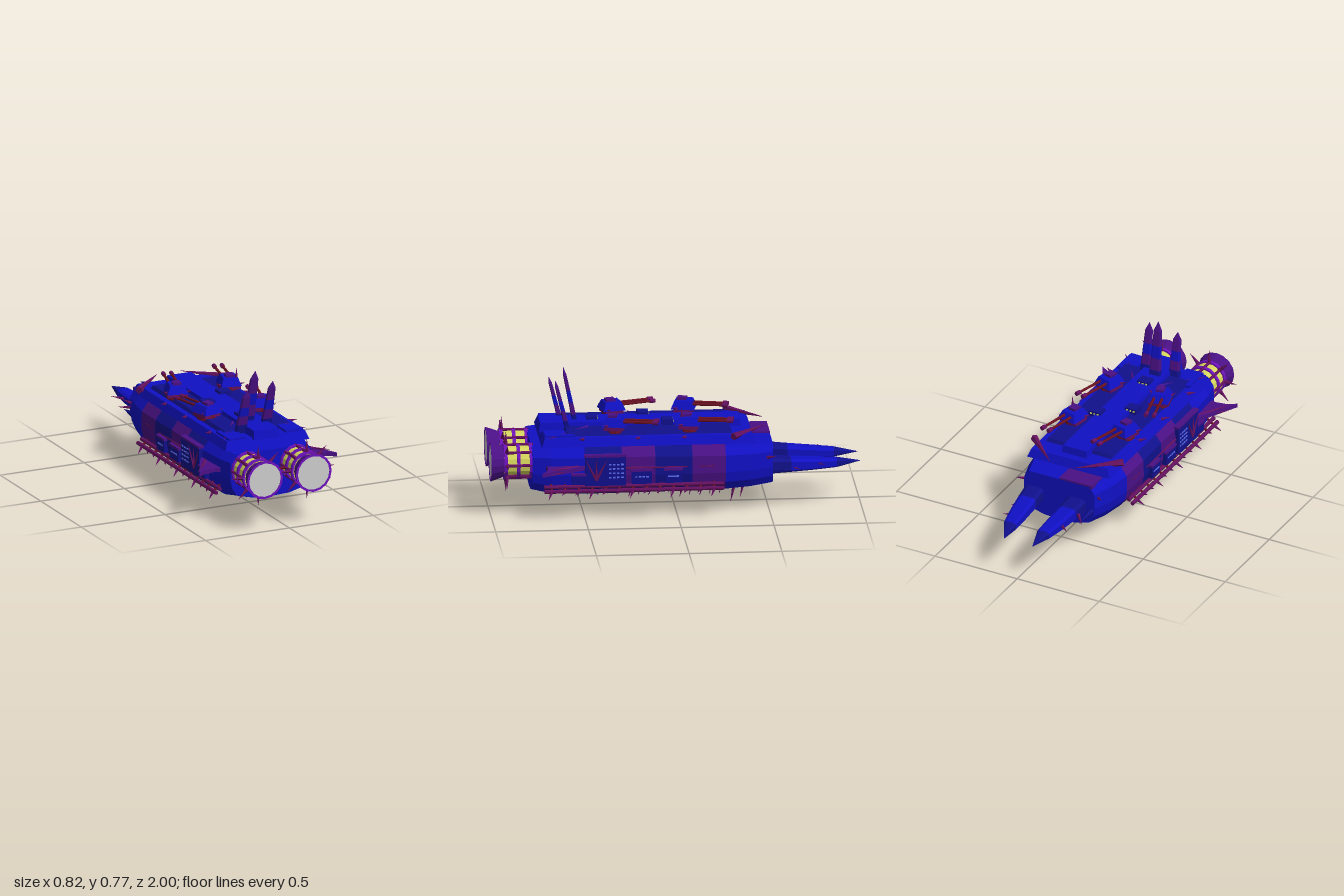
import * as THREE from 'three';

const C = { blue: 0x1010c4, navy: 0x10108c, purple: 0x4a1085, violet: 0x6e12bc, plum: 0x64105e, red: 0x6a1020, yellow: 0xd4d45c, window: 0x5a6cf0, grey: 0xcccccc };
const mats = {};
for (const k in C) mats[k] = new THREE.MeshStandardMaterial({ color: C[k], flatShading: true, side: THREE.DoubleSide });
const V = (x, y, z) => new THREE.Vector3(x, y, z);

function add(parent, name, geo, mat, x = 0, y = 0, z = 0) {
  const m = new THREE.Mesh(geo, mats[mat]);
  m.name = name;
  m.position.set(x, y, z);
  parent.add(m);
  return m;
}
const box = (p, name, w, h, d, mat, x, y, z) => add(p, name, new THREE.BoxGeometry(w, h, d), mat, x, y, z);

// Tapered bar from a to b
function bar(p, name, a, b, r0, r1, mat, sides = 6) {
  const d = b.clone().sub(a), mid = a.clone().add(b).multiplyScalar(0.5);
  const m = add(p, name, new THREE.CylinderGeometry(r1, r0, d.length(), sides), mat, mid.x, mid.y, mid.z);
  m.quaternion.setFromUnitVectors(V(0, 1, 0), d.normalize());
  return m;
}
const spike = (p, name, a, b, r, mat = 'plum') => bar(p, name, a, b, r, 0.0005, mat, 5);

// Skin over rings that run towards -z; one mesh per colour band
function loft(p, name, rings, colours) {
  const g = new THREE.Group();
  g.name = name;
  for (let s = 0; s < rings.length - 1; s++) {
    const A = rings[s], B = rings[s + 1], n = A.length, pts = [];
    for (let i = 0; i < n; i++) {
      const j = (i + 1) % n;
      pts.push(A[i], B[i], B[j], A[i], B[j], A[j]);
      if (s === 0 && i > 0 && i < n - 1) pts.push(A[0], A[i], A[i + 1]);
      if (s === rings.length - 2 && i > 0 && i < n - 1) pts.push(B[0], B[i + 1], B[i]);
    }
    const geo = new THREE.BufferGeometry().setFromPoints(pts);
    geo.computeVertexNormals();
    add(g, name + 'Band', geo, colours[s % colours.length]);
  }
  p.add(g);
  return g;
}
// Chamfered rectangular ring, counter-clockwise seen from +z
function rectRing(cx, cy, z, hw, hh, cut = 0.35) {
  const k = 1 - cut;
  return [[1, -k], [1, k], [k, 1], [-k, 1], [-1, k], [-1, -k], [-k, -1], [k, -1]].map(([a, b]) => V(cx + a * hw, cy + b * hh, z));
}
// Slab with sloping sides
function slab(p, name, w, h, d, inset, mat, x, y, z) {
  const geo = new THREE.BoxGeometry(w, h, d), a = geo.attributes.position;
  for (let i = 0; i < a.count; i++) if (a.getY(i) > 0) {
    a.setX(i, a.getX(i) - Math.sign(a.getX(i)) * inset);
    a.setZ(i, a.getZ(i) - Math.sign(a.getZ(i)) * inset);
  }
  geo.computeVertexNormals();
  return add(p, name, geo, mat, x, y, z);
}

function hull(p) {
  const half = [[0.12, 0.1], [0.235, 0.13], [0.268, 0.18], [0.28, 0.24], [0.277, 0.34], [0.24, 0.39]];
  const prof = [...half, ...half.slice().reverse().map(([x, y]) => [-x, y]), [0, 0.095]];
  // z, width scale, lowest y, highest y
  const st = [[0.78, 0.88, 0.122, 0.385], [0.68, 0.97, 0.1, 0.39], [0.5, 1, 0.095, 0.39], [0.3, 1, 0.095, 0.39], [0.12, 1, 0.097, 0.39],
    [-0.08, 1, 0.1, 0.385], [-0.26, 0.98, 0.105, 0.38], [-0.4, 0.9, 0.112, 0.377], [-0.52, 0.77, 0.125, 0.375]];
  loft(p, 'hull', st.map(([z, s, lo, hi]) => prof.map(([x, y]) => V(x * s, lo + (y - 0.095) / 0.295 * (hi - lo), z))),
    ['blue', 'blue', 'navy', 'purple', 'navy', 'purple', 'blue', 'blue']);
  box(p, 'bowPlate', 0.2, 0.02, 0.12, 'purple', -0.1, 0.375, -0.46);
}

function deck(p) {
  box(p, 'deckSupport', 0.4, 0.04, 1.0, 'navy', 0, 0.39, 0.18);
  slab(p, 'deck', 0.5, 0.047, 1.15, 0.018, 'blue', 0, 0.417, 0.155);
  slab(p, 'deckPlate', 0.4, 0.02, 0.9, 0.01, 'navy', 0, 0.45, 0.15);
  slab(p, 'deckSpine', 0.155, 0.05, 1.09, 0.006, 'blue', -0.005, 0.456, 0.185);
  for (const [x, z] of [[-0.085, 0.16], [0.07, 0.04], [-0.01, 0.44]]) {
    box(p, 'hatch', 0.07, 0.03, 0.06, 'navy', x, 0.48, z);
    for (let i = 0; i < 3; i++) box(p, 'hatchLight', 0.01, 0.01, 0.004, 'yellow', x - 0.02 + i * 0.02, 0.483, z - 0.031);
  }
  // Diagonal claws at the four corners
  for (const s of [-1, 1]) {
    spike(p, 'frontClaw', V(s * 0.27, 0.44, -0.3), V(s * 0.07, 0.447, -0.49), 0.021);
    spike(p, 'rearClaw', V(s * 0.08, 0.445, 0.47), V(s * 0.25, 0.445, 0.7), 0.022, 'purple');
    for (const z of [-0.33, -0.05, 0.2, 0.5]) spike(p, 'deckThorn', V(s * 0.22, 0.43, z), V(s * 0.272, 0.443, z + 0.03), 0.012);
    box(p, 'cornerPad', 0.1, 0.015, 0.16, 'blue', s * 0.17, 0.445, 0.63);
  }
}

function spires(p) {
  // base x, base z, tip x, tip y, tip z, half width
  for (const [bx, bz, tx, ty, tz, w] of [[-0.1, 0.6, -0.088, 0.695, 0.665, 0.032], [-0.022, 0.525, -0.007, 0.775, 0.595, 0.033], [0.062, 0.575, 0.073, 0.722, 0.645, 0.03]]) {
    const rings = [0, 0.2, 0.4, 0.6, 0.85, 1].map((t, i) => {
      const k = i === 5 ? 0.01 : 1 - 0.4 * t;
      return rectRing(bx + (tx - bx) * t, bz + (tz - bz) * t, -(0.44 + (ty - 0.44) * t), w * k, 0.014 * k, 0.25);
    });
    loft(p, 'spire', rings, ['navy', 'purple', 'blue', 'purple', 'purple']).rotation.x = Math.PI / 2;
  }
}

function prongs(p) {
  // z, centre y, half height, then centre x and half width per side
  const st = [[-0.42, 0.247, 0.045, 0.058], [-0.52, 0.246, 0.042, 0.056], [-0.62, 0.243, 0.036, 0.052], [-0.75, 0.24, 0.029, 0.046], [-0.87, 0.238, 0.022, 0.036], [-1, 0.234, 0.001, 0.001]];
  for (const s of [-1, 1]) {
    const cx = s < 0 ? [-0.108, -0.106, -0.102, -0.097, -0.09, -0.094] : [0.16, 0.152, 0.143, 0.128, 0.112, 0.08];
    loft(p, 'prong', st.map(([z, y, h, w], i) => rectRing(cx[i], y, z, w, h)), ['blue', 'navy', 'blue']);
    spike(p, 'prongBarb', V(s * 0.13, 0.24, -0.74), V(s * 0.195, 0.25, -0.8), 0.011);
    spike(p, 'prongBarb', V(s * 0.16, 0.24, -0.6), V(s * 0.215, 0.23, -0.67), 0.011);
    spike(p, 'bowSpike', V(s * 0.195, 0.23, -0.45), V(s * 0.19, 0.22, -0.65), 0.03, 'navy');
    spike(p, 'bowBarb', V(s * 0.21, 0.3, -0.48), V(s * 0.26, 0.32, -0.53), 0.012);
  }
}

function engine(p, x) {
  const g = new THREE.Group();
  g.name = 'engine';
  g.position.set(x, 0.295, 0);
  p.add(g);
  const tube = (name, z0, z1, r0, r1, mat, open = false) => {
    add(g, name, new THREE.CylinderGeometry(r1, r0, z1 - z0, 16, 1, open), mat, 0, 0, (z0 + z1) / 2).rotation.x = Math.PI / 2;
  };
  tube('engineCore', 0.7, 0.93, 0.088, 0.088, 'yellow');
  for (const z of [0.775, 0.843, 0.912]) tube('engineBand', z, z + 0.018, 0.098, 0.098, 'violet');
  tube('engineBell', 0.92, 1, 0.08, 0.107, 'purple', true);
  add(g, 'nozzleRim', new THREE.RingGeometry(0.094, 0.107, 16), 'violet', 0, 0, 1);
  add(g, 'nozzleFace', new THREE.CircleGeometry(0.095, 16), 'grey', 0, 0, 0.997);
  for (let i = 0; i < 8; i++) {
    const a = i * Math.PI / 4, c = Math.cos(a), s = Math.sin(a);
    bar(g, 'engineStrut', V(c * 0.092, s * 0.092, 0.77), V(c * 0.092, s * 0.092, 0.925), 0.008, 0.008, 'plum');
    spike(g, 'engineSpike', V(c * 0.085, s * 0.085, 0.915), V(c * 0.166, s * 0.166, 0.915), 0.013, 'plum');
  }
}

function turret(p, x, z, turn) {
  const g = new THREE.Group();
  g.name = 'turret';
  g.position.set(x, 0, z);
  g.rotation.y = turn;
  p.add(g);
  add(g, 'turretRing', new THREE.CylinderGeometry(0.05, 0.055, 0.035, 10), 'red', 0, 0.468, 0);
  box(g, 'turretSkirt', 0.11, 0.02, 0.1, 'plum', 0, 0.475, 0);
  slab(g, 'turretBody', 0.115, 0.045, 0.125, 0.018, 'blue', 0, 0.508, 0);
  box(g, 'turretCap', 0.045, 0.014, 0.05, 'purple', 0, 0.537, 0.01);
  for (const s of [-1, 1]) {
    bar(g, 'barrel', V(s * 0.022, 0.51, -0.04), V(s * 0.022, 0.513, -0.23), 0.008, 0.007, 'red');
    bar(g, 'muzzle', V(s * 0.022, 0.513, -0.21), V(s * 0.022, 0.513, -0.24), 0.012, 0.012, 'plum', 8);
    spike(g, 'turretThorn', V(s * 0.05, 0.49, 0.03), V(s * 0.075, 0.5, 0.05), 0.008);
  }
}

function flank(p, s) {
  // Armour panels: z, y, depth, height
  for (const [z, y, d, h] of [[0.39, 0.272, 0.22, 0.165], [0.195, 0.233, 0.11, 0.075], [0.025, 0.235, 0.09, 0.075], [0.535, 0.225, 0.07, 0.055]]) {
    box(p, 'sidePanel', 0.03, h, d, 'navy', s * 0.284, y, z);
    box(p, 'panelTrim', 0.034, 0.012, d + 0.01, 'purple', s * 0.286, y + h / 2, z);
  }
  for (let r = 0; r < 4; r++) for (let c = 0; c < 4; c++) box(p, 'window', 0.004, 0.008, 0.014, 'window', s * 0.3, 0.235 + r * 0.024, 0.3 + c * 0.022);
  for (let c = 0; c < 4; c++) box(p, 'window', 0.004, 0.007, 0.014, 'window', s * 0.3, 0.235, 0.165 + c * 0.02);
  box(p, 'window', 0.004, 0.008, 0.06, 'window', s * 0.3, 0.235, 0.025);
  for (const a of [-0.6, 0, 0.6]) spike(p, 'panelThorn', V(s * 0.295, 0.22, 0.44), V(s * 0.305, 0.34, 0.44 + a * 0.1), 0.01);
  // Twin rails with ribs and thorns
  for (const [x, y] of [[0.278, 0.182], [0.3, 0.163]]) bar(p, 'sideRail', V(s * x, y, 0.72), V(s * x, y, -0.25), 0.011, 0.011, 'plum', 8);
  for (let i = 0; i < 13; i++) {
    const z = 0.68 - i * 0.073;
    bar(p, 'railRib', V(s * 0.255, 0.195, z), V(s * 0.305, 0.16, z), 0.007, 0.007, 'red');
    spike(p, 'railThorn', V(s * 0.3, 0.162, z), V(s * (i % 3 ? 0.315 : 0.335), i % 3 ? 0.145 : 0.125, z + 0.02), 0.01);
  }
  bar(p, 'upperRail', V(s * 0.285, 0.28, 0.62), V(s * 0.27, 0.28, -0.2), 0.007, 0.007, 'plum');
  // Swept fin
  const sh = new THREE.Shape([[0.27, 0.47], [0.32, 0.56], [0.41, 0.74], [0.36, 0.71], [0.3, 0.7], [0.27, 0.71]].map(([x, z]) => new THREE.Vector2(s * x, z)));
  const fin = add(p, 'fin', new THREE.ExtrudeGeometry(sh, { depth: 0.022, bevelEnabled: false }), 'purple', 0, 0.297, 0);
  fin.rotation.x = Math.PI / 2;
  for (const [x, y, z] of [[0.385, 0.307, 0.7], [0.395, 0.282, 0.69], [0.35, 0.27, 0.72]]) spike(p, 'finThorn', V(s * 0.27, 0.285, z - 0.17), V(s * x, y, z), 0.015);
}

function keel(p) {
  for (let i = 0; i < 18; i++) {
    const z = 0.55 - i * 0.055, x = [-0.05, 0.03, -0.01, 0.005, -0.03][i % 5];
    const tip = i > 14 ? [0.03, 0.005, 0.02][i % 3] : 0.055 - 0.02 * (i / 14);
    spike(p, 'keelSpike', V(x, 0.125, z), V(x + 0.003, tip, z + 0.025), 0.013);
  }
}

export function createModel() {
  const g = new THREE.Group();
  g.name = 'spaceship';
  hull(g);
  deck(g);
  spires(g);
  prongs(g);
  keel(g);
  for (const s of [-1, 1]) {
    engine(g, s * 0.145);
    flank(g, s);
  }
  bar(g, 'engineLink', V(-0.1, 0.295, 0.85), V(0.1, 0.295, 0.85), 0.007, 0.007, 'red');
  turret(g, -0.16, -0.07, -0.25);
  turret(g, 0.155, -0.07, -0.2);
  turret(g, -0.165, 0.32, 0.25);
  turret(g, 0.15, 0.33, -0.25);
  spike(g, 'antenna', V(0.18, 0.53, -0.03), V(0.183, 0.58, -0.03), 0.008);
  return g;
}
